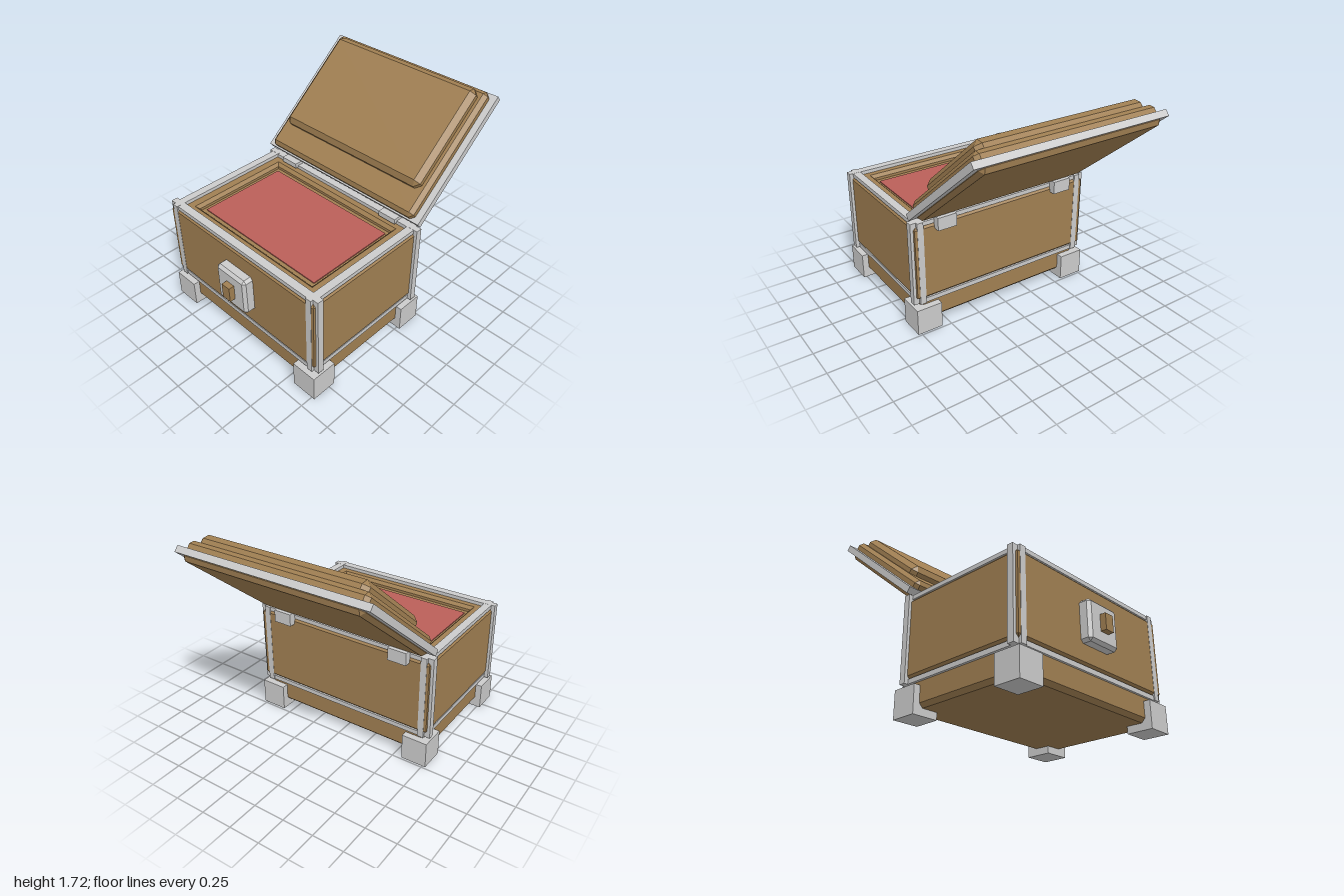
import * as THREE from 'three';
import { ConvexGeometry } from 'three/addons/geometries/ConvexGeometry.js';

const metal = new THREE.MeshStandardMaterial({ color: 0xcccccc, flatShading: true });
const wood = new THREE.MeshStandardMaterial({ color: 0xa07f52, flatShading: true });
const cloth = new THREE.MeshStandardMaterial({ color: 0xbb5f59, flatShading: true });

const CZ = 0.333; // depth centre of the chest body

function add(parent, name, geometry, material) {
  const mesh = new THREE.Mesh(geometry, material);
  mesh.name = name;
  parent.add(mesh);
  return mesh;
}

// Box given by its minimum and maximum along each axis
function block(x0, x1, y0, y1, z0, z1) {
  return new THREE.BoxGeometry(x1 - x0, y1 - y0, z1 - z0)
    .translate((x0 + x1) / 2, (y0 + y1) / 2, (z0 + z1) / 2);
}

// Same box with all edges and corners chamfered by b
function chamferBlock(x0, x1, y0, y1, z0, z1, b) {
  const half = [(x1 - x0) / 2, (y1 - y0) / 2, (z1 - z0) / 2];
  const points = [];
  for (const sx of [-1, 1]) for (const sy of [-1, 1]) for (const sz of [-1, 1]) {
    for (let axis = 0; axis < 3; axis++) {
      const p = half.map((h, i) => (i === axis ? h : h - b));
      points.push(new THREE.Vector3(p[0] * sx, p[1] * sy, p[2] * sz));
    }
  }
  return new ConvexGeometry(points)
    .translate((x0 + x1) / 2, (y0 + y1) / 2, (z0 + z1) / 2);
}

function rectangle(path, w, d) {
  path.moveTo(-w, -d);
  path.lineTo(w, -d);
  path.lineTo(w, d);
  path.lineTo(-w, d);
  path.closePath();
  return path;
}

export function createModel() {
  const chest = new THREE.Group();
  chest.name = 'chest';

  // Hollow wooden body, bevelled outside and around the opening
  const bevel = 0.024, y0 = 0.27, y1 = 0.877;
  const outline = rectangle(new THREE.Shape(), 0.752 - bevel, 0.541 - bevel);
  outline.holes.push(rectangle(new THREE.Path(), 0.6 + bevel, 0.4 + bevel));
  const walls = new THREE.ExtrudeGeometry(outline, {
    depth: y1 - y0 - 2 * bevel, bevelEnabled: true, bevelSegments: 1,
    bevelSize: bevel, bevelThickness: bevel,
  });
  walls.rotateX(-Math.PI / 2).translate(0, y0 + bevel, CZ);
  add(chest, 'bodyWalls', walls, wood);

  // Base, inner floor and lining
  add(chest, 'base', chamferBlock(-0.725, 0.725, 0.055, 0.285, -0.182, 0.85, 0.03), wood);
  add(chest, 'innerFloor', block(-0.61, 0.61, 0.78, 0.832, CZ - 0.41, CZ + 0.41), wood);
  add(chest, 'lining', block(-0.573, 0.573, 0.8, 0.84, -0.035, 0.69), cloth);

  // Feet and notched corner posts
  for (const side of [1, -1]) for (const end of [1, -1]) {
    const corner = new THREE.Group();
    corner.name = (end > 0 ? 'front' : 'back') + (side > 0 ? 'Left' : 'Right') + 'Corner';
    corner.position.z = CZ;
    const box = (name, xa, xb, ya, yb, za, zb) => add(corner, name, block(
      Math.min(xa * side, xb * side), Math.max(xa * side, xb * side), ya, yb,
      Math.min(za * end, zb * end), Math.max(za * end, zb * end)), metal);
    box('foot', 0.57, 0.775, 0, 0.208, 0.365, 0.567);
    box('postAcross', 0.682, 0.775, 0.236, 0.906, 0.472, 0.522);
    box('postAlong', 0.682, 0.73, 0.236, 0.906, 0.472, 0.543);
    chest.add(corner);
  }

  // Upper and lower rails on all four sides
  for (const [name, ya, yb] of [['lowerRail', 0.236, 0.272], ['upperRail', 0.873, 0.905]]) {
    for (const s of [-1, 1]) {
      const z = CZ + s * 0.502;
      add(chest, name, block(-0.69, 0.69, ya, yb, z - 0.032, z + 0.032), metal);
      const x = s * 0.714;
      add(chest, name, block(x - 0.031, x + 0.031, ya, yb, CZ - 0.48, CZ + 0.48), metal);
    }
  }

  // Lock plate and latch
  add(chest, 'lockPlate', chamferBlock(-0.152, 0.152, 0.42, 0.727, 0.85, 0.955, 0.022), metal);
  add(chest, 'latch', block(-0.04, 0.04, 0.512, 0.634, 0.94, 1), wood);

  // Hinges: a leaf over the rail and a block behind it
  for (const s of [-1, 1]) {
    const x = s * 0.515;
    add(chest, 'hingeLeaf', block(x - 0.076, x + 0.076, 0.89, 0.93, -0.21, -0.11), metal);
    add(chest, 'hingeBlock', block(x - 0.076, x + 0.076, 0.83, 0.93, -0.258, -0.2), metal);
  }

  // Open lid: built flat, hinged at its front lower edge
  const lid = new THREE.Group();
  lid.name = 'lid';
  lid.position.set(0, 0.928, -0.172);
  lid.rotation.x = THREE.MathUtils.degToRad(40);
  add(lid, 'lidFrame', block(-0.775, 0.775, 0, 0.05, -1.085, 0), metal);
  add(lid, 'lidPanel', chamferBlock(-0.725, 0.725, -0.034, 0.116, -1.072, -0.013, 0.03), wood);
  add(lid, 'lidTop', chamferBlock(-0.672, 0.672, 0.06, 0.19, -1.04, -0.212, 0.04), wood);
  chest.add(lid);

  return chest;
}
